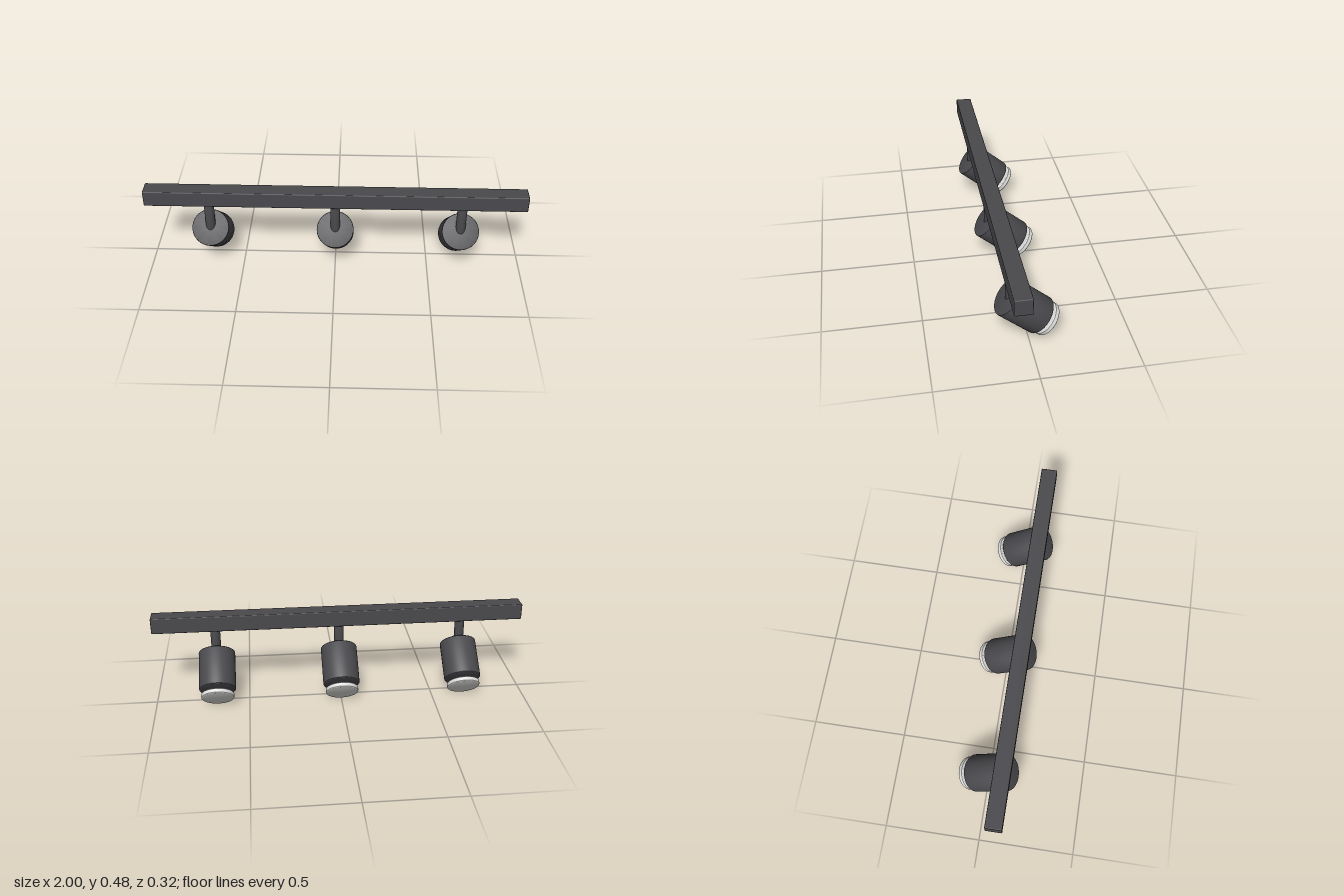
import * as THREE from 'three';
import { toCreasedNormals } from 'three/addons/utils/BufferGeometryUtils.js';
import { RoundedBoxGeometry } from 'three/addons/geometries/RoundedBoxGeometry.js';

// Closed cylinder with softly rounded rims, centred on its own axis
function roundedCylinder(radius, height, bevel, segments = 48) {
  const h = height / 2, steps = 3;
  const points = [new THREE.Vector2(0, -h)];
  for (const side of [-1, 1]) {
    for (let i = 0; i <= steps; i++) {
      const a = ((side < 0 ? i - steps : i) / steps) * Math.PI / 2;
      points.push(new THREE.Vector2(
        radius - bevel + bevel * Math.cos(a),
        side * (h - bevel) + bevel * Math.sin(a)
      ));
    }
  }
  points.push(new THREE.Vector2(0, h));
  return toCreasedNormals(new THREE.LatheGeometry(points, segments), 0.3);
}

export function createModel() {
  const darkMetal = new THREE.MeshStandardMaterial({ color: 0x4a494d });
  darkMetal.name = 'darkMetal';
  const lensWhite = new THREE.MeshStandardMaterial({ color: 0xdcdcda });
  lensWhite.name = 'lensWhite';

  const model = new THREE.Group();
  model.name = 'trackLight';
  const add = (parent, name, geometry, material, x, y, z) => {
    const mesh = new THREE.Mesh(geometry, material);
    mesh.name = name;
    mesh.position.set(x, y, z);
    parent.add(mesh);
  };

  // Ceiling rail
  const railZ = 0.083;
  add(model, 'rail', new RoundedBoxGeometry(2, 0.087, 0.087, 3, 0.005), darkMetal, 0, 0.433, railZ);

  const stemGeometry = roundedCylinder(0.026, 0.19, 0.005, 32);
  const canGeometry = roundedCylinder(0.0985, 0.218, 0.007);
  const lensGeometry = roundedCylinder(0.088, 0.028, 0.008);

  // Three spotlights hanging from the rail
  [-0.667, 0, 0.667].forEach((x, i) => {
    const spot = new THREE.Group();
    spot.name = 'spotlight' + (i + 1);
    spot.position.x = x;
    add(spot, 'stem', stemGeometry, darkMetal, 0, 0.295, railZ);

    // Lamp head tilted down and toward the back
    const head = new THREE.Group();
    head.name = 'lampHead';
    head.position.set(0, 0.166, 0.0165);
    head.rotation.x = THREE.MathUtils.degToRad(50);
    add(head, 'can', canGeometry, darkMetal, 0, 0, 0);
    add(head, 'lens', lensGeometry, lensWhite, 0, -0.1435, 0);
    spot.add(head);
    model.add(spot);
  });

  return model;
}
